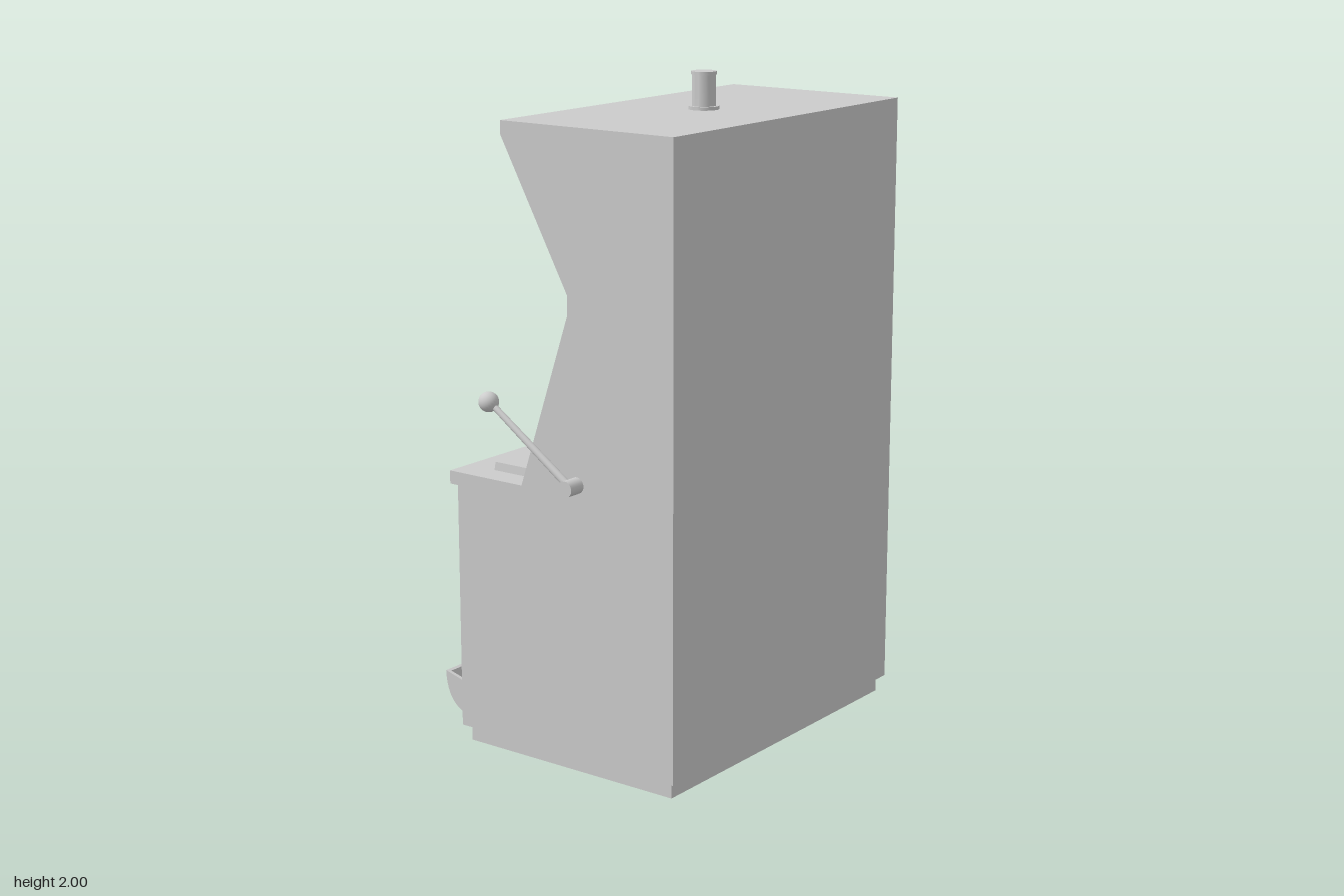
import * as THREE from 'three';
import { toCreasedNormals } from 'three/addons/utils/BufferGeometryUtils.js';

const material = new THREE.MeshStandardMaterial({ color: 0xcccccc, side: THREE.DoubleSide });
// Outer and inner limits of the cabinet across its width (z)
const Z0 = -0.6, Z1 = 0.53, WALL = 0.025;
const IN0 = Z0 + WALL, IN1 = Z1 - WALL;

export function createModel() {
  const root = new THREE.Group();

  function add(name, geometry, parent = root) {
    const mesh = new THREE.Mesh(geometry, material);
    mesh.name = name;
    parent.add(mesh);
    return mesh;
  }
  // Box given by its limits
  function box(name, x0, x1, y0, y1, z0, z1) {
    const g = new THREE.BoxGeometry(x1 - x0, y1 - y0, z1 - z0);
    g.translate((x0 + x1) / 2, (y0 + y1) / 2, (z0 + z1) / 2);
    return add(name, g);
  }
  // Outline in x and y, extruded across the cabinet
  function prism(name, points, z0, z1) {
    const shape = new THREE.Shape(points.map(p => new THREE.Vector2(p[0], p[1])));
    const g = new THREE.ExtrudeGeometry(shape, { depth: z1 - z0, bevelEnabled: false });
    g.translate(0, 0, z0);
    return add(name, toCreasedNormals(g, 0.5));
  }
  // Round bar between two points
  function bar(name, a, b, ra, rb, parent = root) {
    const from = new THREE.Vector3(...a), to = new THREE.Vector3(...b);
    const dir = to.clone().sub(from);
    const mesh = add(name, new THREE.CylinderGeometry(rb, ra, dir.length(), 24), parent);
    mesh.position.copy(from).add(to).multiplyScalar(0.5);
    mesh.quaternion.setFromUnitVectors(new THREE.Vector3(0, 1, 0), dir.normalize());
    return mesh;
  }

  // Cabinet side walls
  const outline = [
    [0.44, 0.05], [0.44, 1.89], [-0.165, 1.89], [-0.165, 1.85], [0.07, 1.42], [0.07, 1.36],
    [-0.105, 0.84], [-0.38, 0.84], [-0.38, 0.8], [-0.35, 0.8], [-0.35, 0.05]
  ];
  prism('rightWall', outline, IN1, Z1);
  prism('leftWall', outline, Z0, IN0);

  // Back, roof, screens and deck between the walls
  box('backPanel', 0.415, 0.44, 0.05, 1.89, IN0, IN1);
  box('roof', -0.165, 0.415, 1.85, 1.89, IN0, IN1);
  box('upperScreen', 0.13, 0.15, 1.36, 1.85, IN0, IN1);
  box('screenShelf', 0.07, 0.13, 1.36, 1.415, IN0, IN1);
  prism('lowerScreen', [[0.09, 1.37], [-0.085, 0.83], [-0.06, 0.83], [0.115, 1.37]], IN0, IN1);
  box('deck', -0.38, -0.06, 0.8, 0.84, IN0, IN1);

  // Front panels, the upper one with a coin opening
  const plate = new THREE.Shape([[IN0, 0.67], [IN1, 0.67], [IN1, 0.8], [IN0, 0.8]].map(p => new THREE.Vector2(...p)));
  plate.holes.push(new THREE.Path([[0.28, 0.69], [0.28, 0.765], [0.475, 0.765], [0.475, 0.69]].map(p => new THREE.Vector2(...p))));
  const plateGeometry = new THREE.ExtrudeGeometry(plate, { depth: 0.02, bevelEnabled: false });
  plateGeometry.rotateY(-Math.PI / 2).translate(-0.327, 0, 0);
  add('upperFrontPanel', plateGeometry);
  box('lowerFrontPanel', -0.34, -0.325, 0.2, 0.67, IN0, IN1);
  box('frontSill', -0.34, -0.325, 0.05, 0.07, IN0, IN1);

  // Coin pocket and its slanted lip
  box('coinPocketBack', -0.29, -0.28, 0.68, 0.775, 0.27, 0.485);
  box('coinPocketFloor', -0.33, -0.28, 0.68, 0.69, 0.27, 0.485);
  box('coinPocketTop', -0.33, -0.28, 0.765, 0.775, 0.27, 0.485);
  for (const z of [0.27, 0.475]) box('coinPocketSide', -0.33, -0.28, 0.68, 0.775, z, z + 0.01);
  prism('coinLip', [[-0.38, 0.705], [-0.34, 0.665], [-0.337, 0.669], [-0.378, 0.708]], 0.28, 0.475);

  // Payout tray: curved trough, end caps and the chamber behind it
  const T0 = -0.57, T1 = 0.5;
  const curve = (ax, ay, cx, cy, bx, by) => new THREE.QuadraticBezierCurve(
    new THREE.Vector2(ax, ay), new THREE.Vector2(cx, cy), new THREE.Vector2(bx, by)
  ).getPoints(12).map(p => [p.x, p.y]);
  const outer = curve(-0.44, 0.195, -0.435, 0.075, -0.335, 0.07);
  const inner = curve(-0.43, 0.192, -0.423, 0.087, -0.335, 0.08);
  prism('payoutTray', [...outer, ...inner.reverse()], T0, T1);
  for (const z of [T0, T1 - 0.012]) prism('trayEnd', [...outer, [-0.335, 0.167]], z, z + 0.012);
  box('trayFloor', -0.335, -0.25, 0.07, 0.08, T0, T1);
  box('trayBack', -0.26, -0.25, 0.07, 0.2, T0, T1);
  box('trayCeiling', -0.335, -0.25, 0.2, 0.21, T0, T1);
  box('trayChamberLeft', -0.335, -0.25, 0.07, 0.2, IN0, T0 + 0.01);
  box('trayChamberRight', -0.335, -0.25, 0.07, 0.2, T1 - 0.01, IN1);

  // Open plinth frame
  const px0 = -0.33, px1 = 0.42, pz0 = -0.58, pz1 = 0.51, pt = 0.025;
  for (const z of [pz0, pz1 - pt]) box('plinthSide', px0, px1, 0, 0.06, z, z + pt);
  for (const x of [px0, px1 - pt]) box('plinthEnd', x, x + pt, 0, 0.06, pz0 + pt, pz1 - pt);

  // Deck buttons with slightly tapered sides
  function button(name, x, z, w, d) {
    const g = new THREE.BoxGeometry(w, 0.03, d);
    const p = g.attributes.position;
    for (let i = 0; i < p.count; i++) {
      if (p.getY(i) > 0) p.setXYZ(i, p.getX(i) * 0.95, p.getY(i), p.getZ(i) * 0.95);
    }
    g.computeVertexNormals();
    add(name, g).position.set(x, 0.85, z);
  }
  for (const z of [-0.415, -0.195, 0]) button('playButton', -0.21, z, 0.12, 0.12);
  button('spinButton', -0.211, 0.38, 0.135, 0.138);

  // Pull lever on the side
  const lever = new THREE.Group();
  lever.name = 'lever';
  root.add(lever);
  bar('leverHub', [0.1, 0.875, 0.525], [0.1, 0.875, 0.585], 0.024, 0.024, lever);
  bar('leverArm', [0.1, 0.875, 0.56], [-0.19, 1.085, 0.567], 0.012, 0.009, lever);
  add('leverKnob', new THREE.SphereGeometry(0.03, 24, 16), lever).position.set(-0.192, 1.083, 0.567);

  // Signal lamp on the roof
  const lamp = new THREE.LatheGeometry([
    [0, 1.885], [0.045, 1.885], [0.045, 1.9], [0.035, 1.9], [0.035, 1.99],
    [0.037, 1.99], [0.037, 2], [0, 2]
  ].map(p => new THREE.Vector2(...p)), 32);
  add('signalLamp', toCreasedNormals(lamp, 0.5)).position.set(0.14, 0, -0.02);

  return root;
}
